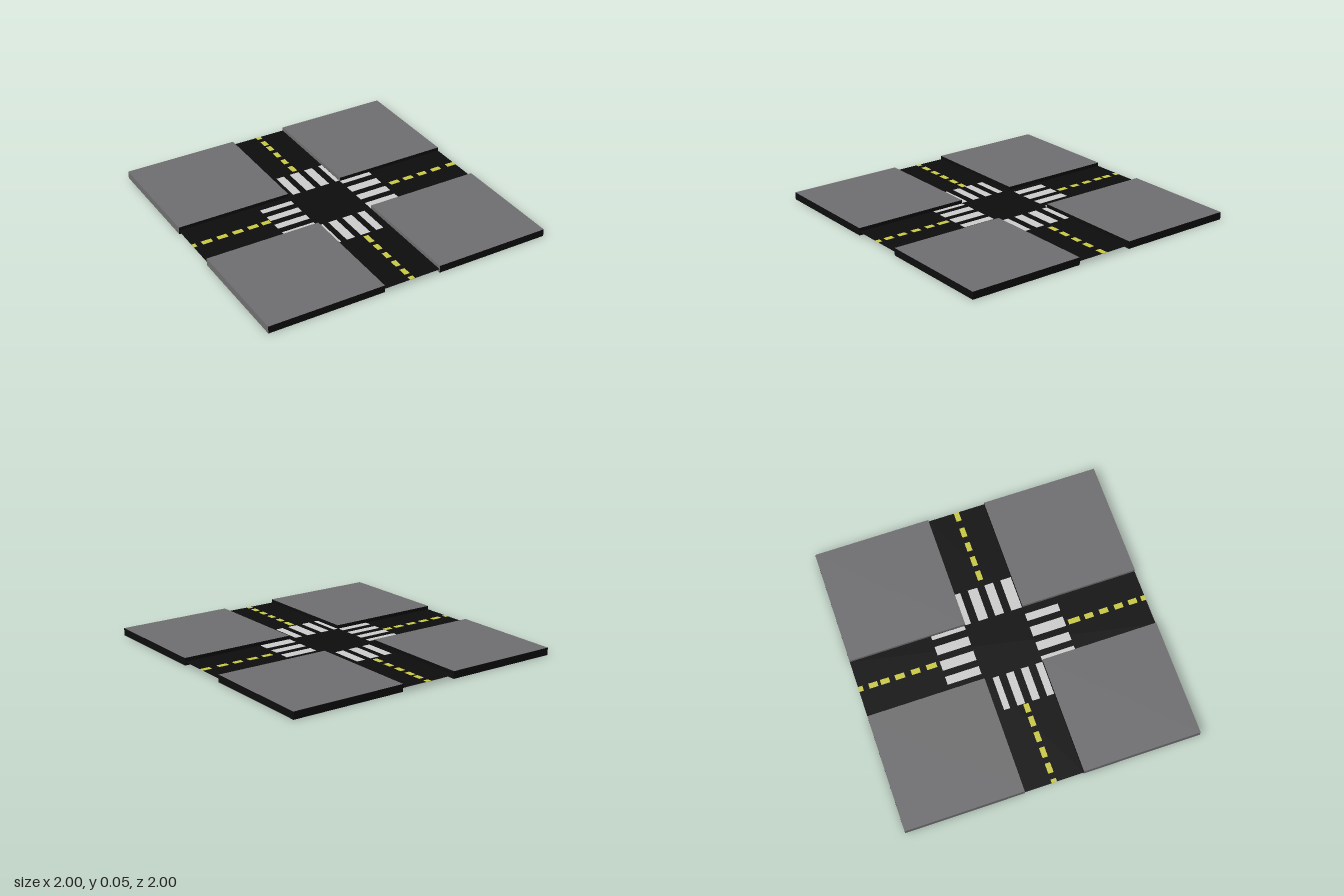
import * as THREE from 'three';

const mat = (name, color, extra = {}) =>
  Object.assign(new THREE.MeshStandardMaterial({ color, ...extra }), { name });

export function createModel() {
  const group = new THREE.Group();
  group.name = 'crossroads';

  const asphalt = mat('asphalt black', 0x0d0d0d, { side: THREE.DoubleSide });
  const concrete = mat('pavement grey', 0x6e6e70);
  const white = mat('crossing white', 0xcccccc);
  const yellow = mat('lane yellow', 0xc8c846);

  const H = 0.05;      // pavement block height
  const HALF = 0.2;    // half road width
  const ROAD_Y = 0.025;

  const add = (name, geometry, material, x, y, z) => {
    const mesh = new THREE.Mesh(geometry, material);
    mesh.name = name;
    mesh.position.set(x, y, z);
    group.add(mesh);
    return mesh;
  };

  // Road: one long strip and two side arms, as thin open sheets
  const sheet = (w, d) => new THREE.PlaneGeometry(w, d).rotateX(-Math.PI / 2);
  add('mainRoad', sheet(2 * HALF, 2), asphalt, 0, ROAD_Y, 0);
  for (const s of [-1, 1]) {
    add('sideRoad', sheet(1 - HALF, 2 * HALF), asphalt, s * (1 + HALF) / 2, ROAD_Y, 0);
  }

  // Pavement corners: grey top and one grey side, the rest black
  const faces = [asphalt, concrete, concrete, asphalt, asphalt, asphalt];
  const side = 1 - HALF;
  for (const sx of [-1, 1]) {
    for (const sz of [-1, 1]) {
      const c = (1 + HALF) / 2;
      add('pavementCorner', new THREE.BoxGeometry(side, H, side), faces, sx * c, H / 2, sz * c);
    }
  }

  // Painted marks straddle the road sheet so they show from both sides
  const mark = (name, material, x0, x1, z0, z1) =>
    add(name, new THREE.BoxGeometry(x1 - x0, 0.003, z1 - z0), material,
      (x0 + x1) / 2, ROAD_Y, (z0 + z1) / 2);

  // Each arm: direction, crossing extent, stripes across it, dashes outward
  const arms = [
    { axis: 'z', s: -1, near: 0.207, far: 0.44,
      stripes: [[-0.157, -0.1], [-0.055, 0.013], [0.058, 0.12], [0.17, 0.198]],
      dashes: [[0.465, 0.535], [0.58, 0.64], [0.685, 0.75], [0.79, 0.85], [0.87, 0.93], [0.97, 1]] },
    { axis: 'z', s: 1, near: 0.2, far: 0.432,
      stripes: [[-0.198, -0.168], [-0.125, -0.065], [-0.02, 0.05], [0.095, 0.148]],
      dashes: [[0.455, 0.535], [0.57, 0.63], [0.675, 0.735], [0.78, 0.84], [0.88, 0.94], [0.97, 1]] },
    { axis: 'x', s: 1, near: 0.2, far: 0.43,
      stripes: [[-0.198, -0.16], [-0.107, -0.04], [0.01, 0.072], [0.123, 0.198]],
      dashes: [[0.475, 0.545], [0.585, 0.655], [0.7, 0.765], [0.81, 0.88], [0.935, 1]] },
    { axis: 'x', s: -1, near: 0.207, far: 0.44,
      stripes: [[-0.147, -0.105], [-0.055, -0.002], [0.048, 0.1], [0.15, 0.198]],
      dashes: [[0.445, 0.505], [0.535, 0.605], [0.645, 0.715], [0.755, 0.825], [0.865, 0.935], [0.975, 1]] },
  ];
  const D = 0.018; // half dash width
  for (const { axis, s, near, far, stripes, dashes } of arms) {
    const paint = (name, material, [a0, a1], [o0, o1]) => {
      const lo = Math.min(s * o0, s * o1), hi = Math.max(s * o0, s * o1);
      if (axis === 'x') mark(name, material, lo, hi, a0, a1);
      else mark(name, material, a0, a1, lo, hi);
    };
    for (const across of stripes) paint('crossingStripe', white, across, [near, far]);
    for (const along of dashes) paint('laneDash', yellow, [-D, D], along);
  }

  return group;
}
